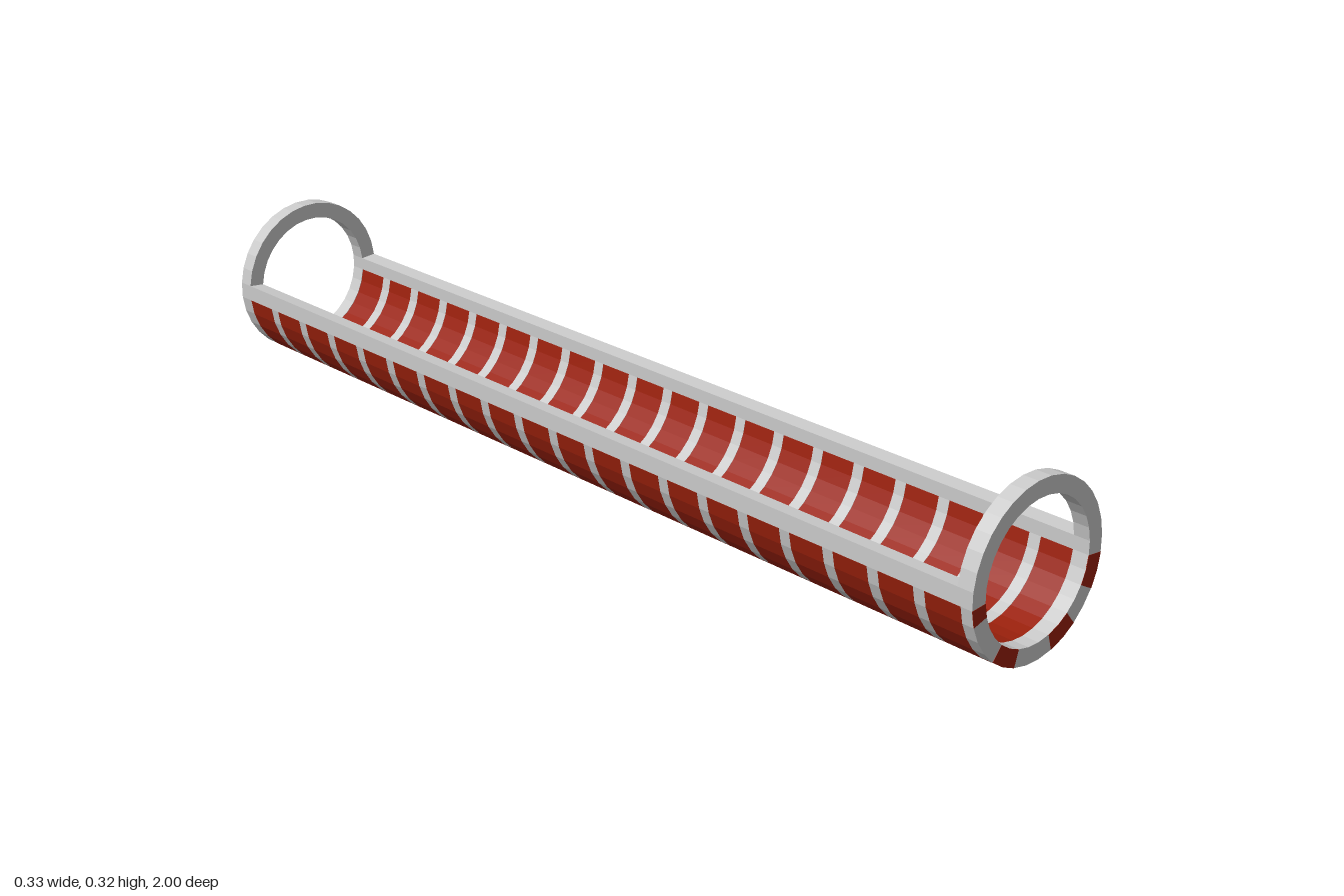
import * as THREE from 'three';

const OUTER = 0.163, INNER = 0.131, SIDES = 32;
const STEP = (Math.PI * 2) / SIDES;
const RING_Z = 0.968; // inner face of each end ring

const gray = new THREE.MeshStandardMaterial({ color: 0xcacaca });
gray.name = 'light gray';
const red = new THREE.MeshStandardMaterial({ color: 0x9a200c });
red.name = 'brick red';

// Faceted wall piece running over facets from..to (facet edges are offset by half a step)
function arcPiece(name, material, from, to, z0, z1, lift = 0) {
  const point = (r, i) => new THREE.Vector2(r * Math.cos((i + 0.5) * STEP), r * Math.sin((i + 0.5) * STEP));
  const outer = [], inner = [];
  for (let i = from; i <= to; i++) {
    outer.push(point(OUTER + lift, i));
    inner.unshift(point(INNER + lift, i));
  }
  let shape;
  if (to - from === SIDES) {
    shape = new THREE.Shape(outer.slice(0, -1));
    shape.holes.push(new THREE.Path(inner.slice(0, -1)));
  } else {
    shape = new THREE.Shape([...outer, ...inner]);
  }
  const geometry = new THREE.ExtrudeGeometry(shape, { depth: z1 - z0, bevelEnabled: false });
  geometry.translate(0, OUTER, z0);
  const mesh = new THREE.Mesh(geometry, material);
  mesh.name = name;
  return mesh;
}

export function createModel() {
  const model = new THREE.Group();
  model.name = 'troughWithEndRings';

  // End rings
  model.add(arcPiece('frontRing', gray, 0, SIDES, RING_Z, 1));
  model.add(arcPiece('backRing', gray, 0, SIDES, -1, -RING_Z));

  // Long rails along both lips of the trough
  model.add(arcPiece('leftRail', gray, -1, 0, -RING_Z, RING_Z));
  model.add(arcPiece('rightRail', gray, 15, 16, -RING_Z, RING_Z));

  // Red wall bands with gray ribs between them
  const count = 20, pitch = 0.0984, width = 0.0744;
  for (let i = 0; i < count; i++) {
    const z = -0.9674 + i * pitch;
    model.add(arcPiece('wallBand', red, -16, -1, z, z + width, 0.0004));
    if (i < count - 1) model.add(arcPiece('rib', gray, -16, -1, z + width, z + pitch));
  }

  // Red facets on the face of the front ring
  for (const [from, to] of [[-3, -1], [-7, -5], [-12, -10], [-16, -15]]) {
    model.add(arcPiece('ringPatch', red, from, to, 0.9995, 1.0005));
  }
  return model;
}
